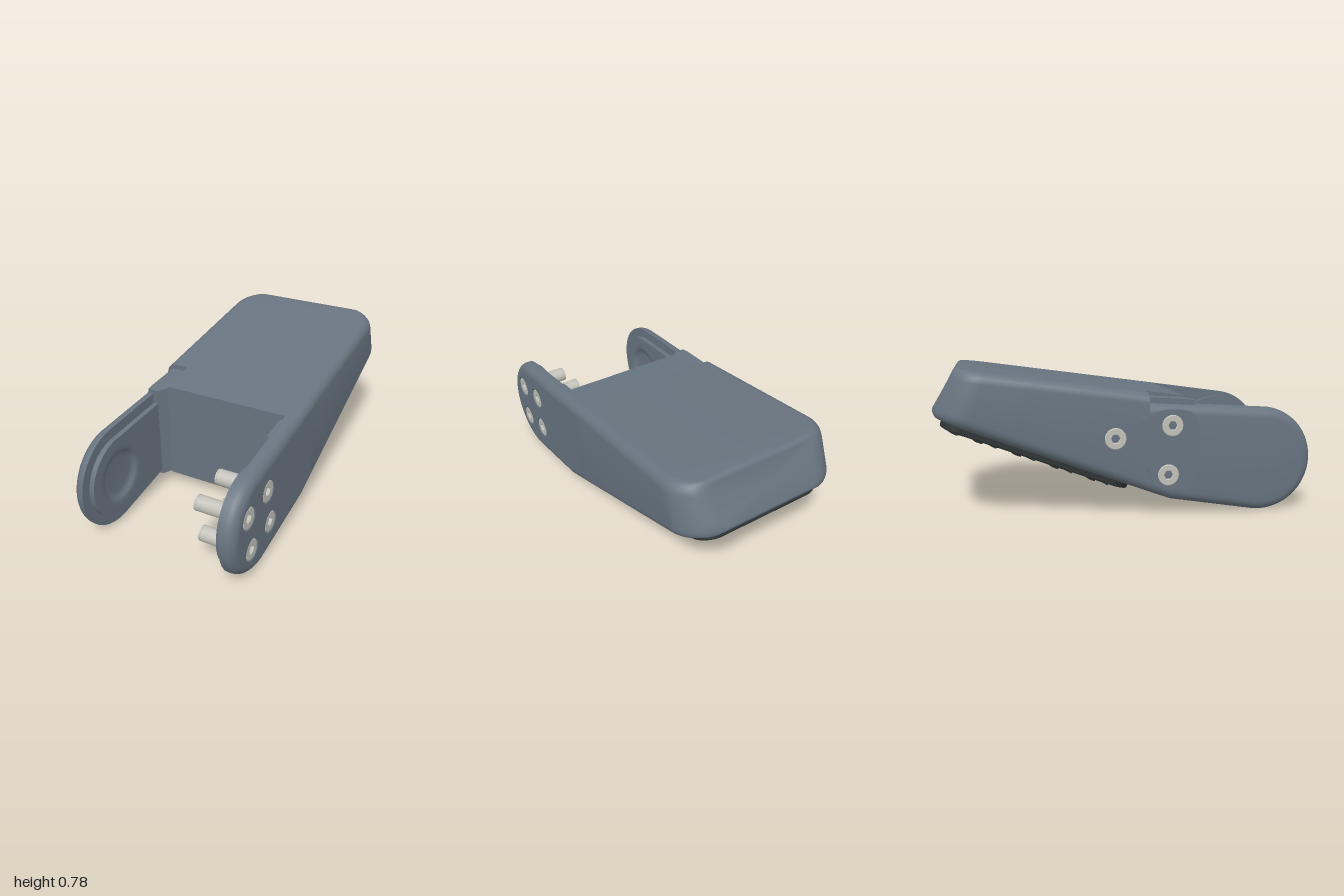
import * as THREE from 'three';
import { toCreasedNormals } from 'three/addons/utils/BufferGeometryUtils.js';

const V = (x, y, z) => new THREE.Vector3(x, y, z);
const top = z => 0.555 + (0.79 - z) * 0.137;
const bottom = z => (z < 0.22 ? 0.08 + (0.22 - z) * 0.377 : 0.08 - (z - 0.22) * 0.16);
const HUB = { z: 0.72, y: 0.28, r: 0.28 };

// Skin closed rings of points, with optional end caps; winding is made outward
function loft(rings, caps = [true, true], crease = 0.6) {
  const tris = [], mid = r => r.reduce((a, p) => a.add(p), V(0, 0, 0)).divideScalar(r.length);
  const n = rings[0].length;
  for (let i = 0; i < rings.length - 1; i++) for (let j = 0; j < n; j++) {
    const k = (j + 1) % n, a = rings[i][j], b = rings[i][k], c = rings[i + 1][k], d = rings[i + 1][j];
    tris.push([a, b, c], [a, c, d]);
  }
  const last = rings[rings.length - 1], m0 = mid(rings[0]), m1 = mid(last);
  for (let j = 0; j < n; j++) {
    const k = (j + 1) % n;
    if (caps[0]) tris.push([rings[0][k], rings[0][j], m0]);
    if (caps[1]) tris.push([last[j], last[k], m1]);
  }
  const c = m0.clone().add(m1).multiplyScalar(0.5);
  let vol = 0;
  for (const [p, q, r] of tris) vol += p.clone().sub(c).dot(q.clone().sub(c).cross(r.clone().sub(c)));
  const pts = tris.flatMap(t => (vol < 0 ? [t[0], t[2], t[1]] : t));
  const g = new THREE.BufferGeometry().setFromPoints(pts);
  return toCreasedNormals(g, crease);
}

// Upright cross-section at z: rounded corners, leaning by shear towards the front at the top
function section(z, x0, x1, r0, r1, e = 0, shear = 0, cap = 9) {
  const yb = bottom(z) + e, yt = Math.min(top(z + shear), cap) - e, pts = [];
  const corners = [[x1, yb, r1, -1, 1], [x1, yt, r1, 1, 1], [x0, yt, r0, 1, -1], [x0, yb, r0, -1, -1]];
  corners.forEach(([x, y, r, sy, sx], q) => {
    for (let i = 0; i <= 6; i++) {
      const a = -Math.PI / 2 + (q + i / 6) * Math.PI / 2;
      const py = y - sy * r + r * Math.sin(a);
      pts.push(V(x - sx * r + r * Math.cos(a), py, z + shear * (py - yb) / (yt - yb)));
    }
  });
  return pts;
}

// Side outline of an arm as [z, y], shrunk by d
function armOutline(zEnd, topEnd, d) {
  const pts = [[zEnd, bottom(zEnd)]];
  if (zEnd < 0.22) pts.push([0.22, 0.08]);
  for (let i = 0; i <= 32; i++) {
    const a = -1.73 + (1.434 + 1.73) * i / 32;
    pts.push([HUB.z + HUB.r * Math.cos(a), HUB.y + HUB.r * Math.sin(a)]);
  }
  pts.push([zEnd, topEnd]);
  return pts.map(([z, y], i) => {
    if (i === 0) return [z, y + d];
    if (i === pts.length - 1) return [z, y - d];
    const tz = pts[i + 1][0] - pts[i - 1][0], ty = pts[i + 1][1] - pts[i - 1][1], l = Math.hypot(tz, ty);
    return [z - ty / l * d, y + tz / l * d];
  });
}

// Arm plate with a square inner edge and a rounded outer edge
function armPlate(side, inner, zEnd, topEnd, capped) {
  const steps = [[inner, 0]], r = 0.055;
  for (let i = 0; i <= 6; i++) {
    const a = i / 6 * Math.PI / 2;
    steps.push([0.455 - r + r * Math.sin(a), r * (1 - Math.cos(a))]);
  }
  return loft(steps.map(([x, d]) => armOutline(zEnd, topEnd, d).map(([z, y]) => V(side * x, y, z))), [true, capped]);
}

const circle = (x, y, r, n = 32) => new THREE.Path(
  Array.from({ length: n }, (_, i) => new THREE.Vector2(x + r * Math.cos(i / n * 2 * Math.PI), y + r * Math.sin(i / n * 2 * Math.PI))));

export function createModel() {
  const model = new THREE.Group();
  const shell = new THREE.MeshStandardMaterial({ color: 0x687480, side: THREE.DoubleSide });
  shell.name = 'slate shell';
  const metal = new THREE.MeshStandardMaterial({ color: 0xc2c2ba });
  metal.name = 'pale metal';
  const rubber = new THREE.MeshStandardMaterial({ color: 0x2d3334 });
  rubber.name = 'dark rubber';
  const add = (name, geo, mat, parent = model) => {
    const m = new THREE.Mesh(geo, mat);
    m.name = name;
    parent.add(m);
    return m;
  };

  // Wedge body with rounded rear corners and a leaning rear face
  const rings = [];
  for (let i = 0; i <= 16; i++) {
    const a = i / 16 * Math.PI / 2, z = -0.83 - 0.17 * Math.cos(a), w = 0.285 + 0.17 * Math.sin(a);
    const e = z < -0.97 ? 0.03 - Math.sqrt(Math.max(0, 0.0009 - (z + 0.97) ** 2)) : 0;
    rings.push(section(z, -w, w, 0.055, 0.055, e, 0.11));
  }
  for (const z of [-0.6, -0.3, 0, 0.1])
    rings.push(section(z, -0.455, 0.455, 0.055, 0.055, 0, 0.11 * (0.1 - z) / 0.93));
  add('body', loft(rings), shell);
  add('bodyFront', loft([0.1, 0.22, 0.305].map(z => section(z, -0.325, 0.4, 0, 0))), shell);
  add('innerWeb', loft([0.3, 0.45].map(z => section(z, 0.35, 0.4, 0, 0, 0.03))), shell);

  // Right-hand arm with four counterbored bolts
  const bolts = [[0.84, 0.37], [0.64, 0.395], [0.81, 0.165], [0.61, 0.195]];
  add('boltedArm', armPlate(1, 0.38, 0.1, top(0.1), false), shell);
  const face = new THREE.Shape(armOutline(0.1, top(0.1), 0.055).map(([z, y]) => new THREE.Vector2(-z, y)));
  bolts.forEach(([z, y]) => face.holes.push(circle(-z, y, 0.062)));
  add('boltedArmFace', new THREE.ShapeGeometry(face).rotateY(Math.PI / 2).translate(0.455, 0, 0), shell);
  add('boltedArmBoss', new THREE.CylinderGeometry(0.25, 0.25, 0.04, 48).rotateZ(Math.PI / 2).translate(0.37, HUB.y, HUB.z), shell);

  // Socket head screw facing sideways, seated at x
  const screwHead = (name, side, x, y, z) => {
    const g = new THREE.Group();
    g.name = name;
    const ring = new THREE.Shape(circle(0, 0, 0.052).getPoints());
    ring.holes.push(circle(0, 0, 0.028, 6));
    add('head', new THREE.ExtrudeGeometry(ring, { depth: 0.018, bevelSize: 0.004, bevelThickness: 0.004, bevelSegments: 2 }), metal, g);
    add('socketFloor', new THREE.CircleGeometry(0.04, 24).translate(0, 0, 0.002), metal, g);
    g.position.set(x, y, z);
    g.rotation.y = side * Math.PI / 2;
    model.add(g);
  };
  bolts.forEach(([z, y]) => {
    add('counterbore', new THREE.CylinderGeometry(0.062, 0.062, 0.03, 32, 1, true).rotateZ(Math.PI / 2).translate(0.44, y, z), shell);
    add('counterboreFloor', new THREE.CircleGeometry(0.062, 32).rotateY(Math.PI / 2).translate(0.426, y, z), shell);
    screwHead('bolt', 1, 0.431, y, z);
    add('boltShank', new THREE.CylinderGeometry(0.037, 0.042, 0.012, 24).rotateZ(Math.PI / 2).translate(0.184, y, z).scale(1, 1, 1), metal)
      .geometry.rotateX(0);
    add('boltShank', new THREE.CylinderGeometry(0.041, 0.041, 0.18, 24).rotateZ(Math.PI / 2).translate(0.27, y, z), metal);
  });

  // Opposite arm, lower than the body, with a shoulder set in the notch
  add('bearingArm', armPlate(-1, 0.39, 0.09, 0.6, true), shell);
  add('armShoulder', loft([[0.09, -0.32], [0.3, -0.32], [0.35, -0.36]].map(
    ([z, x]) => section(z, -0.42, x, 0, 0, 0.01, 0, 0.635))), shell);
  const boss = new THREE.Shape();
  boss.moveTo(-0.3, 0.53);
  boss.lineTo(-0.3, 0.1);
  boss.lineTo(-0.68, 0.06);
  boss.absarc(-HUB.z, HUB.y, 0.225, -1.4, -Math.PI * 1.5, true);
  boss.holes.push(circle(-HUB.z, HUB.y, 0.17, 48));
  add('bearingBoss', new THREE.ExtrudeGeometry(boss, { depth: 0.03, bevelEnabled: false, curveSegments: 32 })
    .rotateY(Math.PI / 2).translate(-0.392, 0, 0), shell);
  // Dished bearing seat
  const dish = [[0, -0.026], [0.1, -0.026], [0.125, -0.02], [0.135, -0.006], [0.15, -0.001], [0.172, 0]];
  add('bearingSeat', new THREE.LatheGeometry(dish.map(p => new THREE.Vector2(...p)), 48)
    .rotateZ(-Math.PI / 2).translate(-0.362, HUB.y, HUB.z), shell);

  // Lobed tongue joining this arm to the body, with three screws
  const lobes = [[0.34, 0.53], [0.16, 0.56], [0.03, 0.5], [-0.09, 0.5], [-0.16, 0.42], [-0.1, 0.34], [0.05, 0.31],
    [0.1, 0.24], [0.13, 0.17], [0.32, 0.15]];
  const curve = new THREE.CatmullRomCurve3(lobes.map(([z, y]) => V(z, y, 0)), true);
  const tongue = new THREE.Shape(curve.getPoints(60).slice(0, 60).map(p => new THREE.Vector2(p.x, p.y)));
  add('armTongue', new THREE.ExtrudeGeometry(tongue, { depth: 0.014, bevelEnabled: false })
    .rotateY(-Math.PI / 2).translate(-0.446, 0, 0), shell);
  [[0.22, 0.48], [-0.08, 0.42], [0.2, 0.22]].forEach(([z, y]) => screwHead('armScrew', -1, -0.445, y, z));

  // Rubber sole: rounded pad with rows of slanted treads
  const sole = new THREE.Group();
  sole.name = 'sole';
  const w = 0.355, l = 0.515, r = 0.1, pad = new THREE.Shape();
  [[w - r, l - r, 0], [r - w, l - r, 1], [r - w, r - l, 2], [w - r, r - l, 3]].forEach(([x, y, q]) =>
    pad.absarc(x, y, r, q * Math.PI / 2, (q + 1) * Math.PI / 2, false));
  add('pad', new THREE.ExtrudeGeometry(pad, { depth: 0.035, bevelSize: 0.008, bevelThickness: 0.008, bevelSegments: 2 })
    .rotateX(Math.PI / 2), rubber, sole);
  for (let row = 0; row < 9; row++) for (let col = 0; col < 6; col++) {
    const tread = add('tread', new THREE.BoxGeometry(0.1, 0.012, 0.045), rubber, sole);
    tread.position.set((col - 2.5) * 0.112, -0.047, (row - 4) * 0.104 + (col % 2 ? 0.02 : -0.02));
    tread.rotation.set(0.12, (col + row) % 2 ? 0.5 : -0.25, 0);
  }
  sole.position.set(0, bottom(-0.46) + 0.003, -0.46);
  sole.rotation.x = Math.atan(0.377);
  model.add(sole);
  return model;
}
